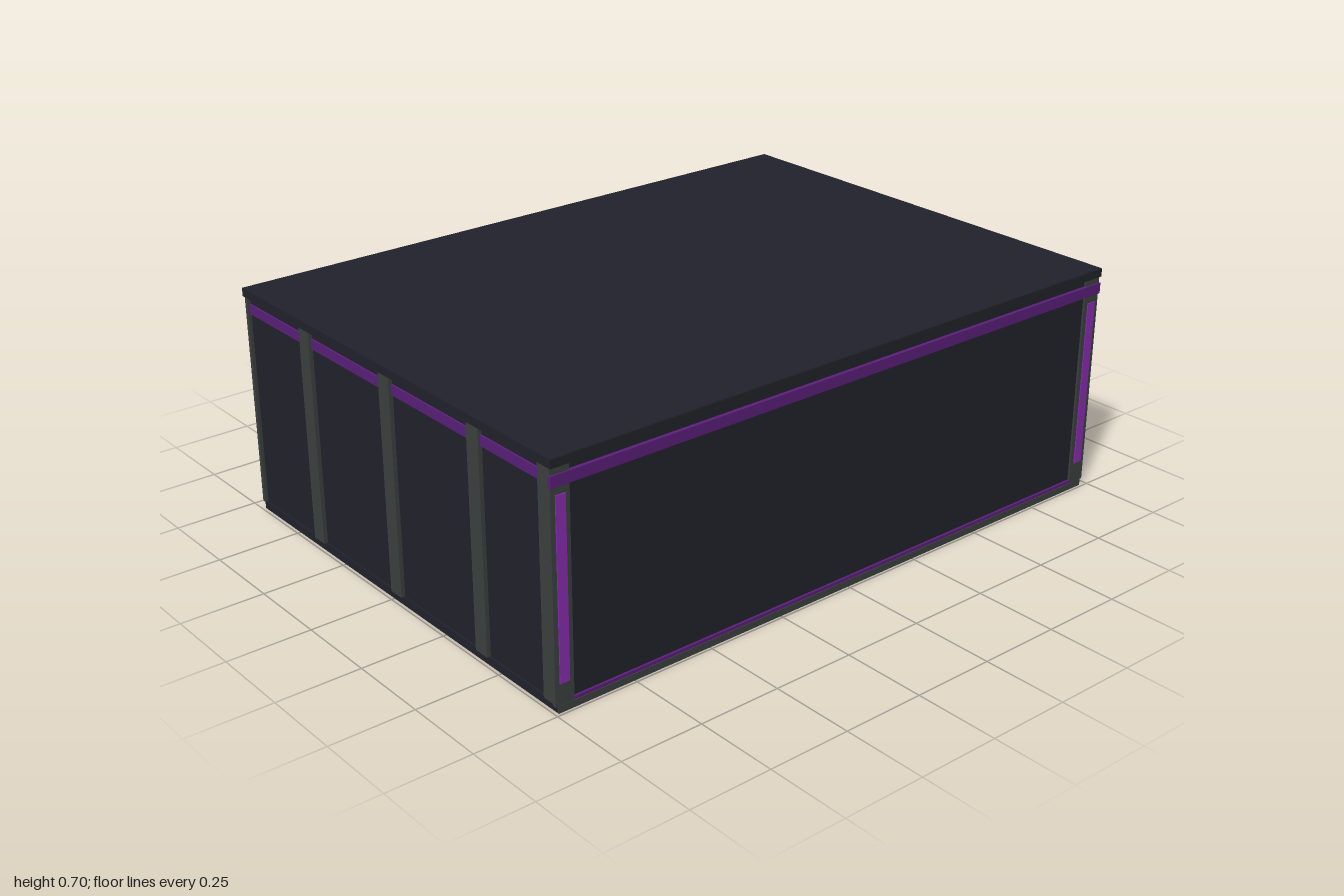
import * as THREE from 'three';

const mat = (name, color) => {
  const m = new THREE.MeshStandardMaterial({ color });
  m.name = name;
  return m;
};

export function createModel() {
  const model = new THREE.Group();
  model.name = 'hall';
  const wall = mat('dark wall', 0x22222c);
  const trim = mat('roof edge', 0x202328);
  const steel = mat('grey green steel', 0x3c4240);
  const band = mat('deep purple', 0x5c1f7a);
  const purple = mat('bright purple', 0x8a2db3);
  const cyan = mat('cyan', 0x22b0c8);
  const stone = mat('step grey', 0x74747f);
  const doorGrey = mat('door grey', 0x6a6b72);
  const black = mat('black', 0x121217);

  // Box given by its lower and upper limits on each axis
  const box = (name, m, x0, x1, y0, y1, z0, z1, parent = model) => {
    const mesh = new THREE.Mesh(new THREE.BoxGeometry(x1 - x0, y1 - y0, z1 - z0), m);
    mesh.position.set((x0 + x1) / 2, (y0 + y1) / 2, (z0 + z1) / 2);
    mesh.name = name;
    parent.add(mesh);
    return mesh;
  };

  // Floor and roof
  box('floorSlab', wall, -0.99, 0.975, 0, 0.025, -0.7, 0.738);
  box('frontKerb', steel, -0.99, 0.975, 0, 0.02, 0.738, 0.742);
  box('roof', wall, -1, 0.985, 0.672, 0.697, -0.705, 0.745);
  box('roofFrontEdge', trim, -1, 0.985, 0.672, 0.696, 0.745, 0.747);

  // Walls; the right one leaves a doorway
  box('frontWall', wall, -0.985, 0.97, 0.025, 0.672, 0.70, 0.735);
  box('backWall', wall, -0.985, 0.97, 0.025, 0.672, -0.695, -0.66);
  box('leftWall', wall, -0.985, -0.95, 0.025, 0.672, -0.66, 0.70);
  box('rightWallBack', wall, 0.935, 0.97, 0.025, 0.672, -0.66, 0.108);
  box('rightWallFront', wall, 0.935, 0.97, 0.025, 0.672, 0.442, 0.70);
  box('rightWallLintel', wall, 0.935, 0.97, 0.482, 0.672, 0.108, 0.442);

  // Pillars along the back and the sides
  for (const x of [-0.97, -0.493, -0.008, 0.477, 0.955]) {
    box('backPillar', steel, x - 0.025, x + 0.025, 0.025, 0.672, -0.703, -0.69);
  }
  for (const z of [-0.378, 0.022, 0.422, 0.715]) {
    box('leftPillar', steel, -0.997, -0.98, 0.025, 0.672, z - 0.025, z + 0.025);
    if (z !== 0.422) box('rightPillar', steel, 0.965, 0.983, 0.025, 0.672, z - 0.025, z + 0.025);
  }

  // Front corner columns with light strips
  for (const side of [-1, 1]) {
    const x = -0.0075 + side * 0.962;
    box('frontColumn', steel, x - 0.029, x + 0.029, 0.02, 0.672, 0.73, 0.741);
    box('columnLight', purple, x - 0.015, x + 0.015, 0.083, 0.597, 0.74, 0.744);
  }

  // Purple bands below the roof and at the front foot
  box('frontBand', band, -1, 0.985, 0.62, 0.652, 0.733, 0.746);
  box('backBand', band, -0.99, 0.975, 0.62, 0.65, -0.7, -0.69);
  box('leftBand', band, -0.99, -0.98, 0.62, 0.65, -0.7, 0.735);
  box('rightBand', band, 0.965, 0.975, 0.62, 0.65, -0.7, 0.735);
  box('footLight', band, -0.94, 0.93, 0.022, 0.031, 0.733, 0.742);

  // Side doorway with its deep purple frame
  const entrance = new THREE.Group();
  entrance.name = 'entrance';
  model.add(entrance);
  box('jamb', purple, 0.93, 0.98, 0.025, 0.485, 0.104, 0.117, entrance);
  box('jamb', purple, 0.93, 0.98, 0.025, 0.485, 0.433, 0.446, entrance);
  box('head', purple, 0.93, 0.98, 0.473, 0.485, 0.117, 0.433, entrance);
  box('threshold', stone, 0.89, 1, 0.02, 0.03, 0.112, 0.428, entrance);

  // Back door
  const backDoor = new THREE.Group();
  backDoor.name = 'backDoor';
  model.add(backDoor);
  box('doorFrame', trim, -0.36, -0.13, 0.025, 0.432, -0.7, -0.69, backDoor);
  box('doorLeaf', doorGrey, -0.347, -0.143, 0.03, 0.42, -0.704, -0.695, backDoor);
  box('handle', black, -0.192, -0.165, 0.205, 0.215, -0.71, -0.703, backDoor);
  box('step', stone, -0.37, -0.122, 0, 0.03, -0.75, -0.695, backDoor);
  box('signPlate', cyan, -0.292, -0.192, 0.462, 0.5, -0.706, -0.695, backDoor);

  // Inside: low partition with two mirrored cyan stripes
  const inside = new THREE.Group();
  inside.name = 'interior';
  model.add(inside);
  for (const side of [-1, 1]) {
    const z = 0.186 + side * 0.063;
    box('partition', steel, -0.33, -0.3, 0.025, 0.335, z - 0.06, z + 0.06, inside);
    const stripe = new THREE.Shape([[0.004, 0.3], [0.004, 0.26], [0.122, 0.03], [0.122, 0.07]]
      .map(([a, b]) => new THREE.Vector2(-side * a, b)));
    const mesh = new THREE.Mesh(
      new THREE.ExtrudeGeometry(stripe, { depth: 0.005, bevelEnabled: false }), cyan);
    mesh.rotation.y = Math.PI / 2;
    mesh.position.set(-0.3, 0, 0.186);
    mesh.name = 'stripe';
    inside.add(mesh);
  }

  // Counter with dark drawers and a purple top
  box('counter', steel, -0.1, 0.1, 0.025, 0.2, 0.315, 0.56, inside);
  box('counterTop', band, -0.11, 0.11, 0.2, 0.212, 0.31, 0.57, inside);
  box('counterPanel', black, 0.1, 0.105, 0.05, 0.15, 0.36, 0.54, inside);
  box('counterLight', purple, 0.103, 0.108, 0.085, 0.094, 0.36, 0.54, inside);
  box('floorLight', cyan, 0.11, 0.13, 0.025, 0.04, 0.315, 0.38, inside);

  // Screen on a slim post beside the counter
  box('screenPost', black, -0.03, -0.01, 0.17, 0.3, 0.3, 0.312, inside);
  const screen = box('screen', black, -0.06, 0, 0.18, 0.29, 0.28, 0.305, inside);
  screen.rotation.x = -0.15;
  const glow = box('screenGlow', purple, 0, 0.005, 0.2, 0.28, 0.284, 0.3, inside);
  glow.rotation.x = -0.15;
  box('screenLight', cyan, -0.02, 0, 0.3, 0.332, 0.295, 0.305, inside);

  return model;
}
